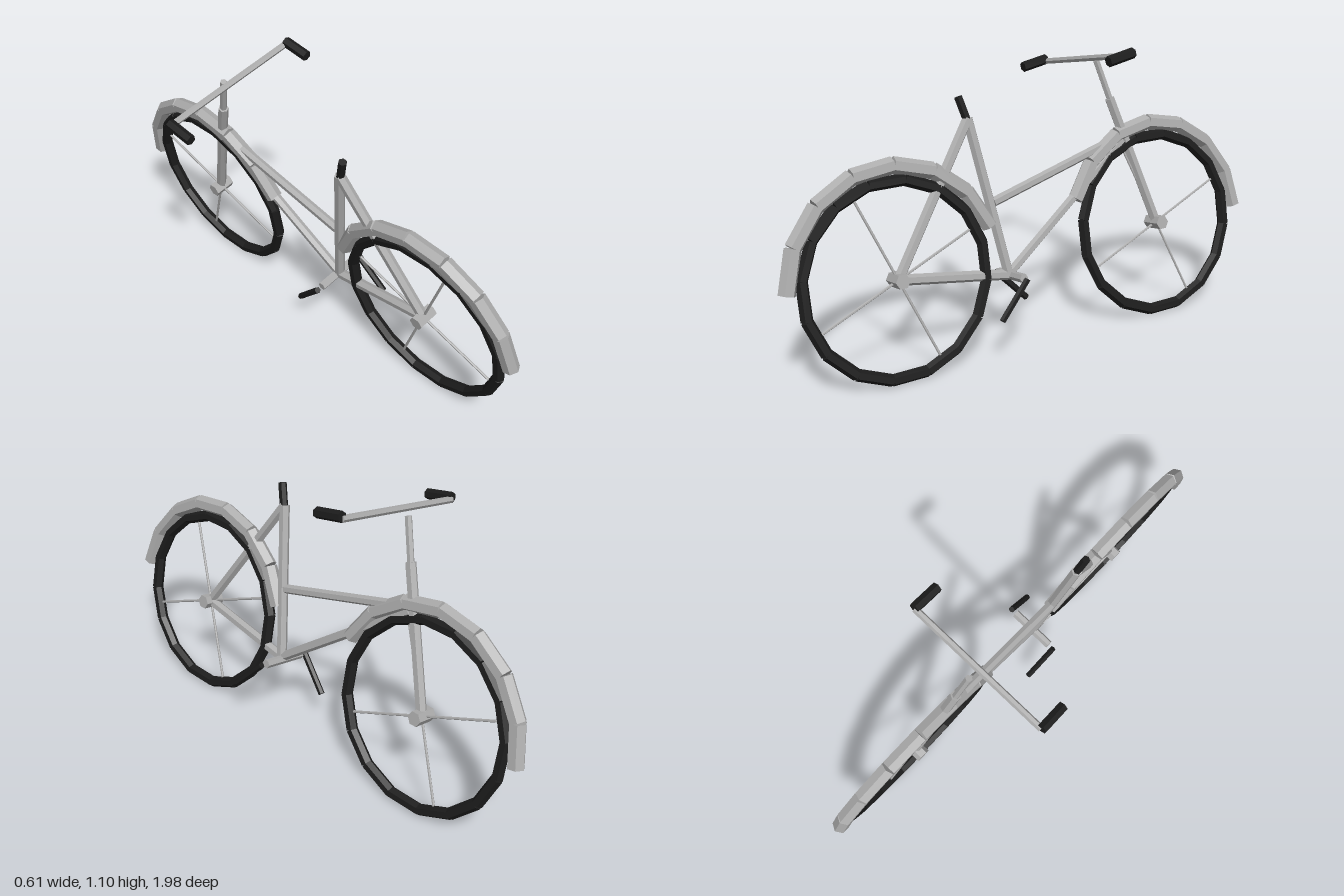
import * as THREE from 'three';

export function createModel() {
  const metal = new THREE.MeshStandardMaterial({ color: 0xadadad, flatShading: true });
  metal.name = 'grey metal';
  const rubber = new THREE.MeshStandardMaterial({ color: 0x1c1c1c, flatShading: true });
  rubber.name = 'black rubber';

  // The whole bicycle leans sideways around its ground line
  const model = new THREE.Group();
  model.name = 'bicycle';
  const bike = new THREE.Group();
  bike.name = 'leaningBicycle';
  bike.position.set(0.217, 0, 0);
  bike.rotation.z = THREE.MathUtils.degToRad(12);
  model.add(bike);

  // Six-sided rod between two points
  const rod = (name, a, b, radius, material, parent = bike) => {
    const start = new THREE.Vector3(...a);
    const dir = new THREE.Vector3(...b).sub(start);
    const mesh = new THREE.Mesh(new THREE.CylinderGeometry(radius, radius, dir.length(), 6), material);
    mesh.name = name;
    mesh.position.copy(start).addScaledVector(dir, 0.5);
    mesh.quaternion.setFromUnitVectors(new THREE.Vector3(0, 1, 0), dir.normalize());
    parent.add(mesh);
    return mesh;
  };

  // Point on a circle in the wheel plane; angle 0 points to -z
  const polar = (r, deg) => {
    const t = THREE.MathUtils.degToRad(deg);
    return [0, r * Math.sin(t), -r * Math.cos(t)];
  };

  // Chain of straight rods along an arc
  const arc = (name, r, from, count, tube, material, parent) => {
    const group = new THREE.Group();
    group.name = name;
    for (let i = 0; i < count; i++) {
      const a = from + i * 22.5;
      rod(name + 'Segment', polar(r, a), polar(r, a + 22.5), tube, material, group);
    }
    parent.add(group);
  };

  const hubV = 0.38;
  const wheel = (name, z, fenderStart) => {
    const group = new THREE.Group();
    group.name = name;
    group.position.set(0, hubV, z);
    arc('tire', 0.348, 11.25, 16, 0.022, rubber, group);
    arc('fender', 0.398, fenderStart, 7, 0.031, metal, group);
    rod('hub', [-0.042, 0, 0], [0.042, 0, 0], 0.028, metal, group);
    for (let i = 0; i < 4; i++) rod('spoke', [0, 0, 0], polar(0.345, 22.5 + 90 * i), 0.005, metal, group);
    bike.add(group);
  };
  wheel('rearWheel', 0.565, 18);
  wheel('frontWheel', -0.56, 0);

  // Frame
  const rearHub = [0, hubV, 0.565];
  const frontHub = [0, hubV, -0.56];
  const bracket = [0, 0.31, 0.13];
  const seatTop = [0, 0.895, 0.225];
  const forkTop = [0, 0.89, -0.395];
  rod('seatTube', bracket, seatTop, 0.02, metal);
  rod('seatStay', rearHub, seatTop, 0.02, metal);
  rod('chainStay', rearHub, bracket, 0.02, metal);
  rod('topTube', [0, 0.583, 0.16], [0, 0.74, -0.43], 0.018, metal);
  rod('downTube', bracket, [0, 0.725, -0.43], 0.018, metal);
  rod('fork', frontHub, forkTop, 0.02, metal);
  rod('stem', forkTop, [0, 1.04, -0.35], 0.013, metal);
  rod('seat', [0, 0.89, 0.228], [0, 0.975, 0.252], 0.016, rubber);

  // Handlebar and grips
  rod('handlebar', [-0.285, 1.052, -0.308], [0.285, 1.052, -0.308], 0.0125, metal);
  for (const side of [-1, 1]) {
    rod('grip', [side * 0.287, 1.06, -0.31], [side * 0.287, 1.04, -0.2], 0.02, rubber);
  }

  // Crank axle and pedals on opposite sides
  rod('crankAxle', [-0.092, 0.305, 0.12], [0.092, 0.305, 0.12], 0.017, metal);
  for (const side of [-1, 1]) {
    rod('pedal', [side * 0.115, 0.305, 0.12], [side * 0.115, 0.178, 0.12 + side * 0.12], 0.0125, rubber);
  }
  return model;
}
